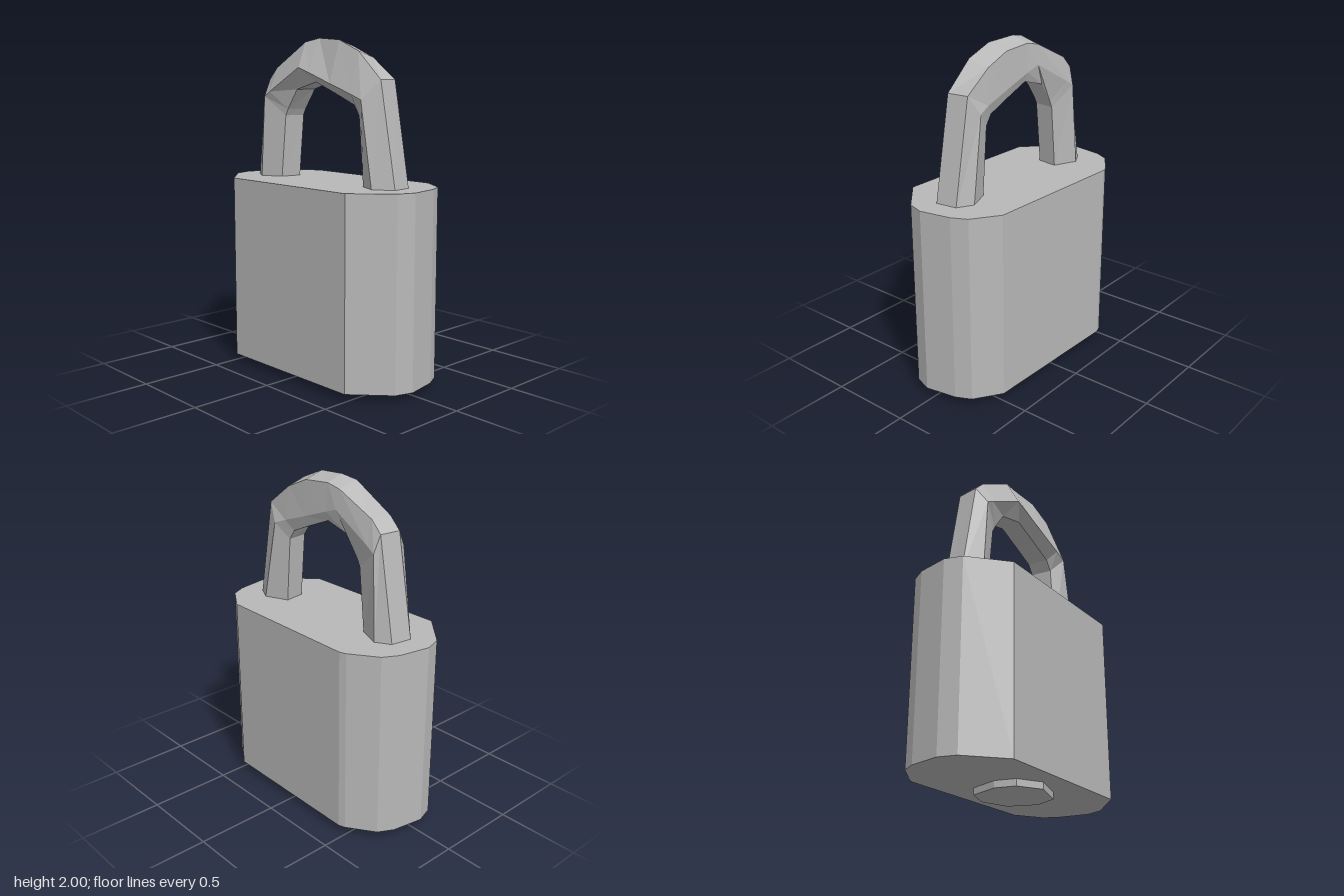
import * as THREE from 'three';

const steel = new THREE.MeshStandardMaterial({ color: 0xb8b8b8, flatShading: true });
steel.name = 'grey steel';

// Upright prism from an outline of [x, z] points
function prism(name, outline, y0, y1) {
  const shape = new THREE.Shape(outline.map(([x, z]) => new THREE.Vector2(x, -z)));
  const geo = new THREE.ExtrudeGeometry(shape, { depth: y1 - y0, bevelEnabled: false });
  geo.rotateX(-Math.PI / 2).translate(0, y0, 0);
  const mesh = new THREE.Mesh(geo, steel);
  mesh.name = name;
  return mesh;
}

// Faceted bar lofted through six-sided sections
function loft(name, sections) {
  const pos = [];
  const n = sections[0].length;
  for (let i = 0; i < sections.length - 1; i++) {
    for (let j = 0; j < n; j++) {
      const k = (j + 1) % n;
      const a = sections[i][j], b = sections[i][k];
      const c = sections[i + 1][j], d = sections[i + 1][k];
      pos.push(...a, ...c, ...b, ...b, ...c, ...d);
    }
  }
  const geo = new THREE.BufferGeometry();
  geo.setAttribute('position', new THREE.Float32BufferAttribute(pos, 3));
  geo.computeVertexNormals();
  const mesh = new THREE.Mesh(geo, steel);
  mesh.name = name;
  return mesh;
}

export function createModel() {
  const lock = new THREE.Group();
  lock.name = 'padlock';

  // Body with angled front corners and rounded ends
  lock.add(prism('body', [
    [-0.49, 0.345], [0.49, 0.345], [0.695, 0.155], [0.73, 0.05], [0.695, -0.14], [0.65, -0.23],
    [0.49, -0.335], [-0.45, -0.35], [-0.49, -0.337], [-0.65, -0.23], [-0.7, -0.14],
    [-0.735, 0.05], [-0.7, 0.155],
  ], 0.04, 1.16));

  // Keyhole plug under the body
  lock.add(prism('keyPlug', [
    [-0.05, 0.23], [0.16, 0.16], [0.22, 0.02], [0.15, -0.15],
    [-0.02, -0.21], [-0.17, -0.15], [-0.225, 0.03], [-0.19, 0.15],
  ], 0, 0.05));

  // Shackle stations: outer x y, side ridge x y, inner x y, back ridge z, outer front z
  const stations = [
    [-0.593, 1.14, -0.485, 1.14, -0.34, 1.14, -0.12, 0.06],
    [-0.48, 1.76, -0.45, 1.655, -0.3, 1.54, -0.105, 0.06],
    [-0.41, 1.83, -0.4, 1.685, -0.28, 1.58, -0.1, 0.06],
    [-0.15, 1.98, -0.13, 1.83, -0.2, 1.7, -0.085, 0.055],
    [-0.05, 2.0, -0.04, 1.8, -0.04, 1.745, -0.08, 0.035],
    [0.14, 1.985, 0.14, 1.737, 0.12, 1.68, -0.08, 0.055],
    [0.3, 1.92, 0.31, 1.68, 0.26, 1.62, -0.085, 0.06],
    [0.475, 1.76, 0.39, 1.65, 0.3, 1.56, -0.1, 0.06],
    [0.593, 1.14, 0.48, 1.14, 0.335, 1.14, -0.12, 0.06],
  ];
  lock.add(loft('shackle', stations.map(([ox, oy, mx, my, ix, iy, zBack, zOuter]) => [
    [ox, oy, zOuter],
    [ox * 0.97, oy - (oy > 1.9 ? 0.035 : 0), -0.07],
    [mx, my, zBack],
    [ix, iy, -0.06],
    [ix * 1.06, iy, 0.07],
    [mx, my, 0.13],
  ])));

  return lock;
}
